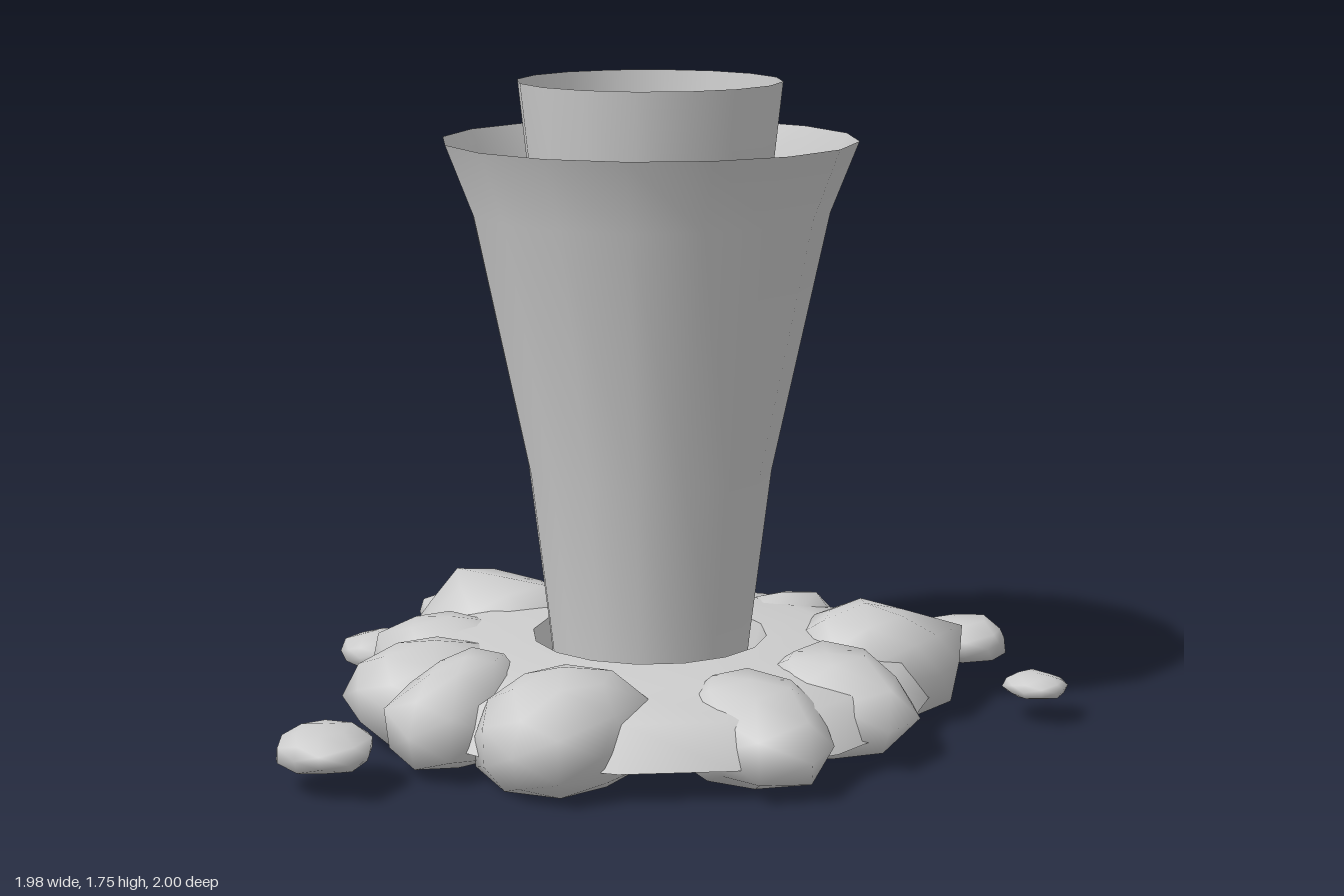
import * as THREE from 'three';
import { mergeVertices } from 'three/addons/utils/BufferGeometryUtils.js';

export function createModel() {
  const group = new THREE.Group();
  const stone = new THREE.MeshStandardMaterial({ color: 0xcccccc, side: THREE.DoubleSide });
  stone.name = 'pale stone';

  let seed = 7;
  const rand = () => {
    seed = (seed * 16807) % 2147483647;
    return seed / 2147483647;
  };

  const add = (name, geometry) => {
    const mesh = new THREE.Mesh(geometry, stone);
    mesh.name = name;
    group.add(mesh);
    return mesh;
  };

  // Revolved parts share an axis slightly off the origin
  const lathe = (name, profile) => {
    const points = profile.map(([r, y]) => new THREE.Vector2(r, y));
    add(name, new THREE.LatheGeometry(points, 16)).position.set(-0.03, 0, -0.07);
  };
  lathe('outerPlume', [[0.25, 0.02], [0.275, 0.25], [0.33, 0.7], [0.48, 1.4], [0.555, 1.59]]);
  lathe('innerPlume', [[0.15, 0.02], [0.21, 0.7], [0.315, 1.4], [0.353, 1.745]]);
  lathe('craterRing', [[0.765, 0.08], [0.7, 0.19], [0.52, 0.23], [0.32, 0.24]]);
  lathe('craterBowl', [[0.32, 0.24], [0.26, 0.02]]);
  lathe('craterFloor', [[0.26, 0.02], [0, 0.02]]);

  // Smooth, blocky stone filling a box; an optional corner angle pulls out a point
  const rock = (name, [x0, x1], [y0, y1], [z0, z1], corner) => {
    let g = new THREE.IcosahedronGeometry(1, 1);
    g.deleteAttribute('normal');
    g.deleteAttribute('uv');
    g = mergeVertices(g, 1e-3);
    const p = g.attributes.position;
    const v = new THREE.Vector3();
    for (let i = 0; i < p.count; i++) {
      v.fromBufferAttribute(p, i);
      // blend from a ball towards a rounded block
      const norm = [v.x, v.y, v.z].reduce((sum, c) => sum + Math.abs(c) ** 2.5, 0) ** 0.4;
      v.multiplyScalar((0.9 + 0.2 * rand()) / norm);
      if (corner !== undefined) {
        const along = v.x * Math.cos(corner) + v.z * Math.sin(corner);
        const pull = 1 + 0.28 * Math.max(0, along) ** 4;
        v.x *= pull;
        v.z *= pull;
      }
      // flattened underside
      v.y = Math.max(v.y, -0.75);
      p.setXYZ(i, v.x, v.y, v.z);
    }
    g.computeBoundingBox();
    const { min, max } = g.boundingBox;
    const fit = (a, lo, hi, to0, to1) => to0 + ((a - lo) / (hi - lo)) * (to1 - to0);
    for (let i = 0; i < p.count; i++) {
      p.setXYZ(i,
        fit(p.getX(i), min.x, max.x, x0, x1),
        fit(p.getY(i), min.y, max.y, y0, y1),
        fit(p.getZ(i), min.z, max.z, z0, z1));
    }
    g.computeVertexNormals();
    add(name, g);
  };

  // Boulders around the crater: x, y and z ranges, corner angle
  [
    [[-0.54, -0.12], [0.01, 0.26], [-0.85, -0.36], -2.3],
    [[-0.02, 0.26], [0.01, 0.25], [-0.84, -0.36]],
    [[0.25, 0.7], [0.01, 0.31], [-0.69, -0.18], -0.9],
    [[0.32, 0.78], [0, 0.26], [-0.26, 0.14], 0.3],
    [[0.25, 0.69], [0, 0.25], [0.06, 0.48], 0.6],
    [[-0.18, 0.24], [0, 0.3], [0.26, 0.78]],
    [[-0.43, -0.13], [0.01, 0.27], [0.25, 0.75], 1.5],
    [[-0.69, -0.24], [0.01, 0.26], [0.1, 0.57]],
    [[-0.79, -0.36], [0.01, 0.25], [-0.12, 0.25]],
    [[-0.84, -0.36], [0, 0.3], [-0.42, -0.03]],
  ].forEach(([x, y, z, corner]) => rock('rimBoulder', x, y, z, corner));

  // Loose stones thrown clear of the rim
  [
    [[0.42, 0.68], [0.06, 0.17], [-1, -0.73]],
    [[0.82, 0.99], [0.07, 0.13], [-0.64, -0.47]],
    [[-0.99, -0.72], [0.06, 0.17], [-0.58, -0.3], 0.6],
    [[-0.97, -0.76], [0.06, 0.15], [-0.12, 0.11]],
    [[-0.58, -0.32], [0.06, 0.17], [0.73, 1], 0.3],
  ].forEach(([x, y, z, corner]) => rock('looseStone', x, y, z, corner));

  return group;
}
